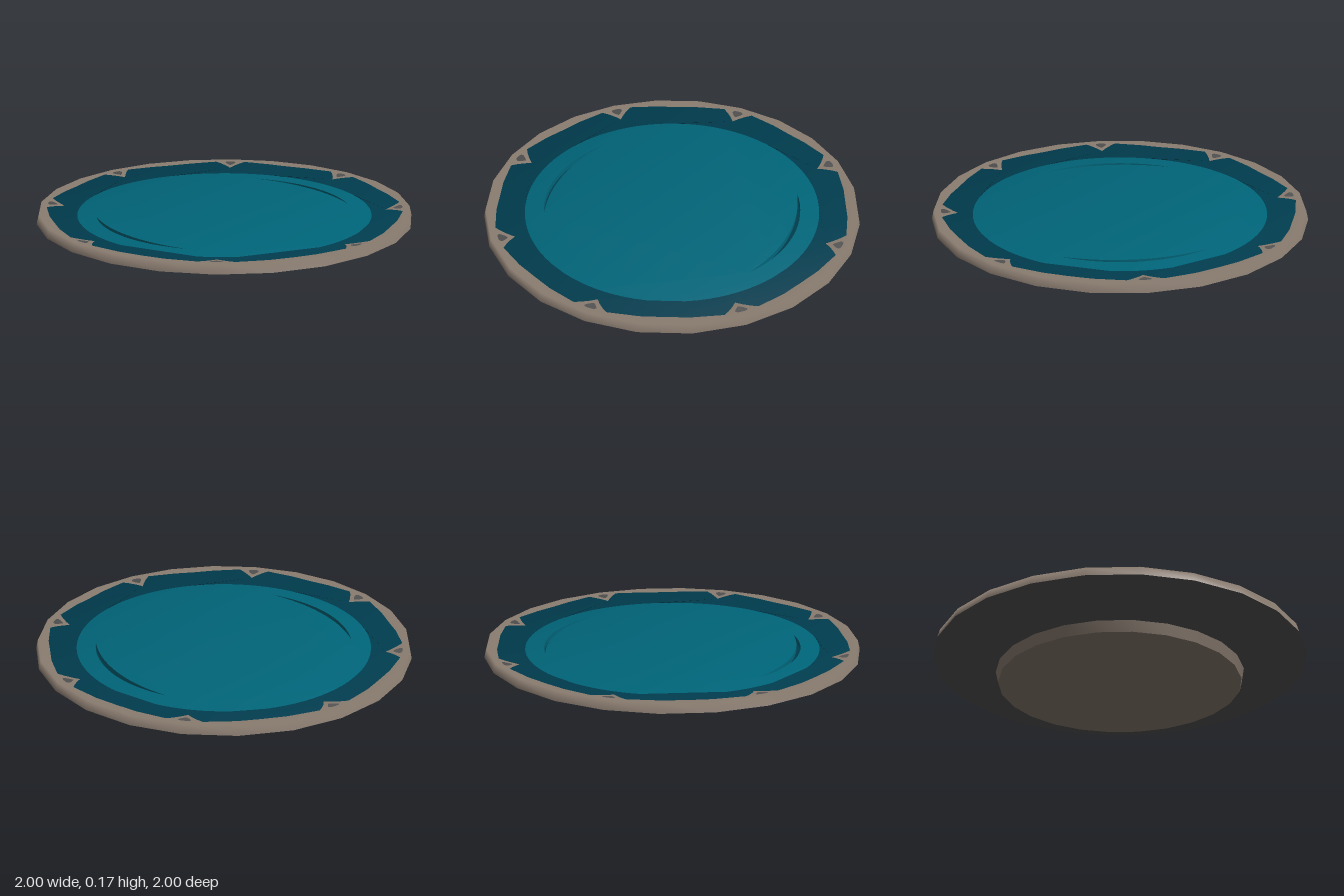
import * as THREE from 'three';
import { toCreasedNormals } from 'three/addons/utils/BufferGeometryUtils.js';

const SIDES = 24;
const MIDDLE_RADIUS = 0.785;
const MIDDLE_TOP = 0.131;

// height of the shallow dish at a given radius
const dishHeight = (r) => 0.125 + 0.042 * Math.max(0, (r - 0.77) / 0.215);

const polar = (r, a) => new THREE.Vector2(r * Math.sin(a), r * Math.cos(a));

// let upward faces shade softly outward
function softenTop(geo, tilt) {
  const p = geo.attributes.position;
  const n = geo.attributes.normal;
  const v = new THREE.Vector3();
  for (let i = 0; i < p.count; i++) {
    if (n.getY(i) < 0.9) continue;
    v.set(p.getX(i) * tilt, 1, p.getZ(i) * tilt).normalize();
    n.setXYZ(i, v.x, v.y, v.z);
  }
  return geo;
}

// flat shape laid down and lifted onto the dish
function layOnDish(shape, lift) {
  const geo = new THREE.ShapeGeometry(shape, 48).rotateX(-Math.PI / 2);
  const p = geo.attributes.position;
  for (let i = 0; i < p.count; i++) {
    p.setY(i, dishHeight(Math.hypot(p.getX(i), p.getZ(i))) + lift);
  }
  return softenTop(geo, 0.2);
}

const lathe = (points) =>
  new THREE.LatheGeometry(points.map(([r, y]) => new THREE.Vector2(r, y)), SIDES);

// crescent outline centred on the given direction
function crescentPath(turn) {
  const steps = 16, spread = 1.12, points = [];
  for (let i = 0; i <= steps; i++) points.push(polar(0.685, turn + (i / steps - 0.5) * spread));
  for (let i = steps - 1; i > 0; i--) {
    const t = i / steps - 0.5;
    points.push(polar(0.685 - 0.027 * (1 - 4 * t * t), turn + t * spread));
  }
  return new THREE.Path(points);
}

export function createModel() {
  const group = new THREE.Group();
  const material = (name, color) => {
    const m = new THREE.MeshStandardMaterial({ color });
    m.name = name;
    return m;
  };
  const stone = material('stone', 0x8a7c70);
  const dark = material('dark grey', 0x525252);
  const deepTeal = material('deep teal', 0x003c4e);
  const teal = material('teal', 0x006579);
  const add = (name, geo, mat) => {
    const mesh = new THREE.Mesh(geo, mat);
    mesh.name = name;
    group.add(mesh);
    return mesh;
  };

  // foot, underside and softly shaded rim, with the same number of sides
  add('foot', toCreasedNormals(lathe([[0, 0], [0.65, 0], [0.665, 0.058]]), 0.5), stone);
  add('underside', lathe([[0.655, 0.055], [1, 0.12]]), dark);
  add('rim', lathe([[1, 0.12], [0.988, 0.167], [0.77, 0.121]]), stone);

  // deep teal border whose outer edge is notched eight times
  const half = [[0, 0.862], [1.5, 0.89], [3.5, 0.922], [5.3, 0.947], [15, 0.932], [22.5, 0.924]];
  const sector = [...half, ...half.slice(1, -1).reverse().map(([a, r]) => [45 - a, r])];
  const outline = [];
  for (let i = 0; i < 8; i++) {
    for (const [a, r] of sector) outline.push(polar(r, THREE.MathUtils.degToRad(a + i * 45)));
  }
  const border = new THREE.Shape(outline);
  border.holes.push(new THREE.Path().absarc(0, 0, MIDDLE_RADIUS, 0, Math.PI * 2, true));
  add('border', layOnDish(border, 0.003), deepTeal);

  // flat middle with two crescent slits, over a deep teal floor
  const disc = new THREE.Shape().absarc(0, 0, MIDDLE_RADIUS, 0, Math.PI * 2, false);
  disc.holes.push(crescentPath(0), crescentPath(Math.PI));
  const depth = 0.03;
  const discGeo = new THREE.ExtrudeGeometry(disc, { depth, bevelEnabled: false, curveSegments: 48 });
  discGeo.rotateX(-Math.PI / 2).translate(0, MIDDLE_TOP - depth, 0);
  add('middle', softenTop(discGeo, 0.2), teal);
  const floorGeo = new THREE.CircleGeometry(0.75, 48).rotateX(-Math.PI / 2);
  add('slitFloor', floorGeo.translate(0, MIDDLE_TOP - depth + 0.001, 0), deepTeal);

  // small rounded triangles in the notches
  const mark = new THREE.Shape();
  mark.moveTo(0, 0.9);
  mark.quadraticCurveTo(0.018, 0.912, 0.031, 0.935);
  mark.quadraticCurveTo(0.03, 0.952, 0, 0.95);
  mark.quadraticCurveTo(-0.03, 0.952, -0.031, 0.935);
  mark.quadraticCurveTo(-0.018, 0.912, 0, 0.9);
  const markGeo = layOnDish(mark, 0.003).rotateY(Math.PI);
  for (let i = 0; i < 8; i++) {
    add('notchMark', markGeo, dark).rotation.y = (i * Math.PI) / 4;
  }

  return group;
}
